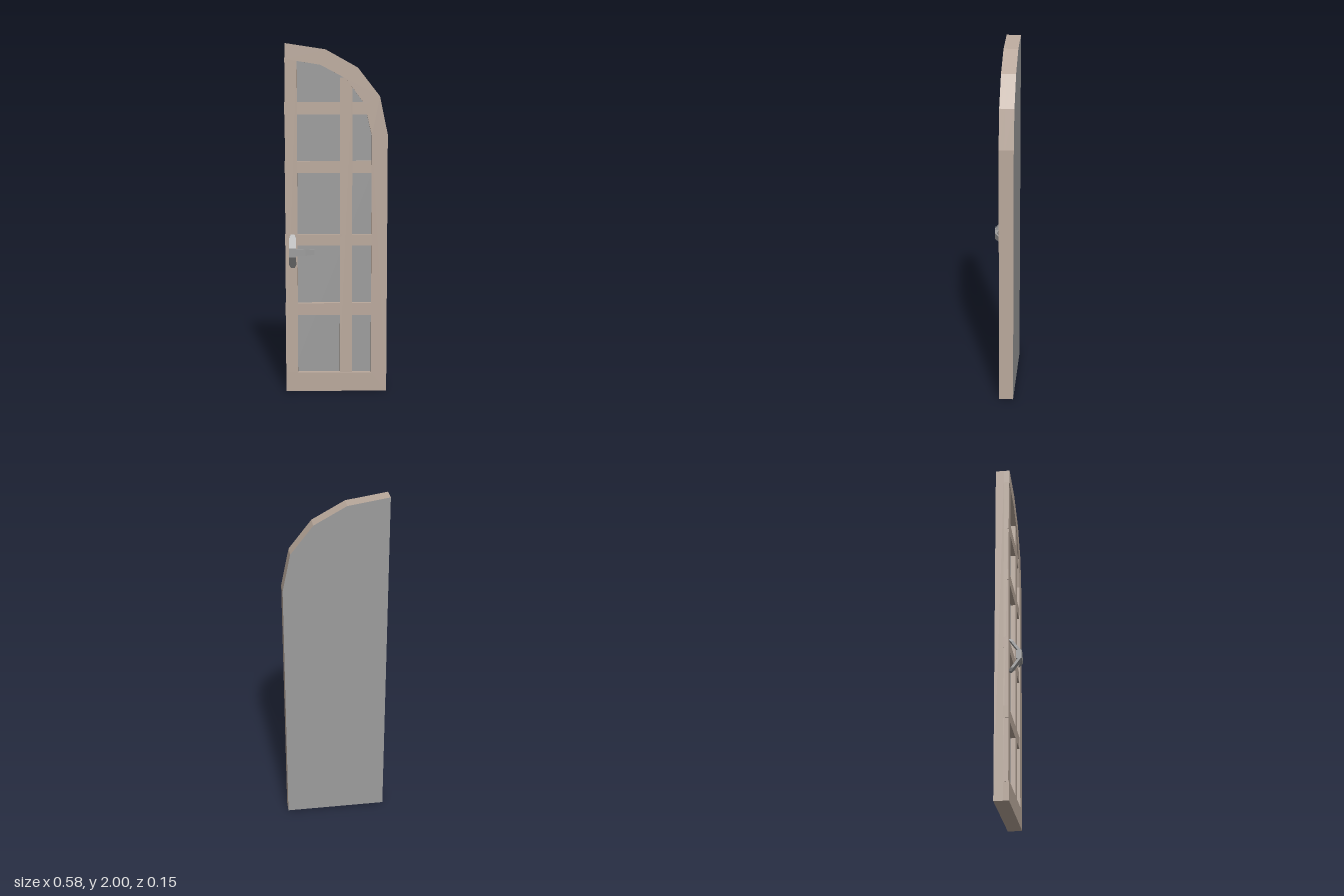
import * as THREE from 'three';

export function createModel() {
  const wood = new THREE.MeshStandardMaterial({ name: 'paleWood', color: 0xbaa99c, flatShading: true });
  const grey = new THREE.MeshStandardMaterial({ name: 'plainGrey', color: 0x9c9c9c, flatShading: true });

  const model = new THREE.Group();
  model.name = 'archedDoor';
  const leaf = new THREE.Group();
  leaf.name = 'doorLeaf';
  leaf.rotation.y = -0.019; // the leaf stands very slightly ajar
  model.add(leaf);

  const add = (parent, name, geometry, material) => {
    const mesh = new THREE.Mesh(geometry, material);
    mesh.name = name;
    parent.add(mesh);
    return mesh;
  };
  // Flat outline pushed out between two depths
  const plate = (points, z0, z1) => {
    const shape = new THREE.Shape(points.map(([x, y]) => new THREE.Vector2(x, y)));
    return new THREE.ExtrudeGeometry(shape, { depth: z1 - z0, bevelEnabled: false }).translate(0, 0, z0);
  };

  const BACK = -0.069, PANE = -0.02, GRID = 0.008, FRONT = 0.012;
  const outerArch = [[0.29, 1.49], [0.245, 1.705], [0.12, 1.865], [-0.06, 1.965], [-0.29, 2]];
  const innerArch = [[-0.29, 1.912], [-0.09, 1.88], [0.055, 1.803], [0.16, 1.66], [0.2, 1.485]];

  // Backing slab: grey faces, wooden edges
  add(leaf, 'paneSlab', plate([[-0.29, 0], [0.29, 0], ...outerArch], BACK, PANE), [grey, wood]);

  // Bottom rail, right stile and arch in one piece
  add(leaf, 'outerFrame',
    plate([[-0.29, 0], [0.29, 0], ...outerArch, ...innerArch, [0.2, 0.11], [-0.29, 0.11]], PANE, FRONT), wood);

  // Stiles and glazing bars, set just behind the outer frame
  const bar = (name, x0, x1, y0, y1) => add(leaf, name,
    plate([[x0, y0], [x1, y0], [x1, y1], [x0, y1]], PANE, GRID), wood);
  bar('leftStile', -0.291, -0.222, 0.1, 1.92);
  bar('middleStile', 0.02, 0.09, 0.1, 1.81);
  for (const [y0, y1, end] of [[0.45, 0.52, 0.21], [0.857, 0.92, 0.21], [1.273, 1.34, 0.21], [1.603, 1.672, 0.19]]) {
    bar('glazingBar', -0.293, end, y0, y1);
  }

  // Handle: two sloping arms, a hub and a bent lever
  const handle = new THREE.Group();
  handle.name = 'doorHandle';
  handle.position.set(-0.25, 0.826, 0);
  model.add(handle);

  for (const side of [1, -1]) {
    const arm = plate([[-0.02, 0.02], [0.02, 0.02], [0.02, 0.078], [0.011, 0.096], [-0.011, 0.096], [-0.02, 0.078]], 0.053, 0.07);
    const p = arm.attributes.position;
    for (let i = 0; i < p.count; i++) p.setZ(i, p.getZ(i) - 0.72 * (p.getY(i) - 0.02));
    arm.computeVertexNormals();
    add(handle, 'handleArm', arm, grey).scale.y = side;
  }
  add(handle, 'handleHub', new THREE.BoxGeometry(0.04, 0.05, 0.03).translate(0, 0, 0.057), grey);

  // Lever outline is drawn in x and z, then turned upright
  const lever = plate([[0.015, 0.05], [0.072, 0.056], [0.123, 0.04], [0.123, 0.046], [0.072, 0.069], [0.015, 0.071]], -0.02, 0.02);
  lever.rotateX(Math.PI / 2);
  const lp = lever.attributes.position;
  for (let i = 0; i < lp.count; i++) lp.setY(i, lp.getY(i) * (1 - 2 * Math.max(0, lp.getX(i) - 0.02)));
  lever.computeVertexNormals();
  add(handle, 'handleLever', lever, grey);

  return model;
}
